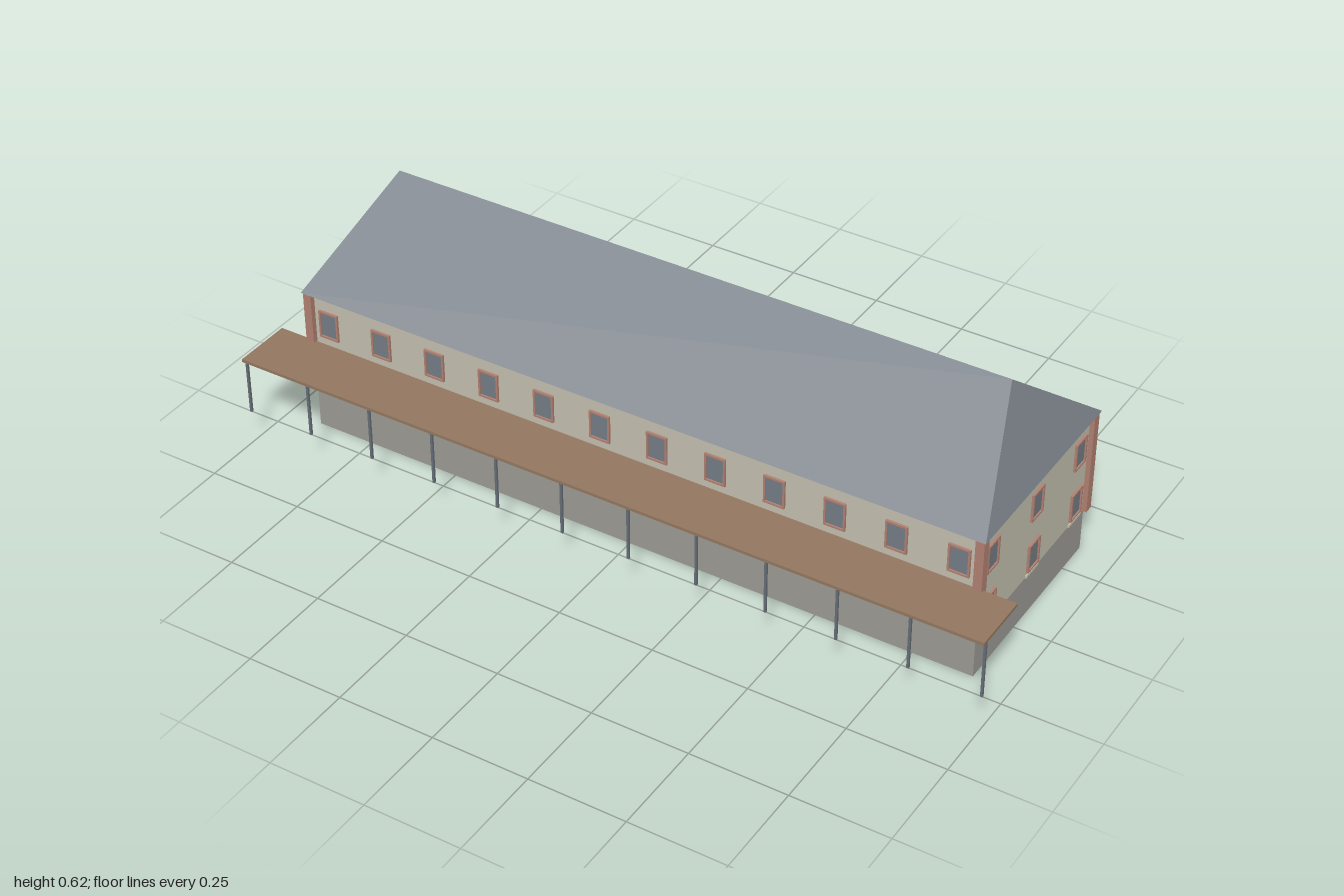
import * as THREE from 'three';

const mat = (name, color, opts = {}) => {
  const m = new THREE.MeshStandardMaterial({ color, ...opts });
  m.name = name;
  return m;
};

export function createModel() {
  const wall = mat('cream plaster', 0xc2beae);
  const stone = mat('grey stone', 0x9b9993);
  const slate = mat('slate roof', 0x7c828a);
  const brick = mat('red brick', 0xb08070);
  const wood = mat('brown wood', 0x93775f);
  const glass = mat('window glass', 0x747b84);
  const steel = mat('steel', 0x666d76);

  const model = new THREE.Group();
  const X = 0.905, Z0 = -0.342, Z1 = 0.2, ZC = (Z0 + Z1) / 2;
  const BASE = 0.115, EAVE = 0.392;

  // Box given by its extents
  const box = (parent, name, material, x0, x1, y0, y1, z0, z1) => {
    const m = new THREE.Mesh(new THREE.BoxGeometry(x1 - x0, y1 - y0, z1 - z0), material);
    m.position.set((x0 + x1) / 2, (y0 + y1) / 2, (z0 + z1) / 2);
    m.name = name;
    parent.add(m);
  };

  // Body
  box(model, 'foundation', stone, -X, X, 0, BASE, Z0, Z1);
  box(model, 'walls', wall, -X, X, BASE, EAVE, Z0, Z1);

  // Brick corner pillars
  for (const x of [-0.906, 0.906])
    for (const z of [-0.345, 0.202])
      box(model, 'cornerPillar', brick, x - 0.011, x + 0.011, BASE, EAVE, z - 0.012, z + 0.012);

  // Hipped roof with closed underside
  const a = [-0.921, EAVE, 0.217], b = [0.921, EAVE, 0.217];
  const c = [0.921, EAVE, -0.359], d = [-0.921, EAVE, -0.359];
  const e = [-0.823, 0.617, ZC], f = [0.823, 0.617, ZC];
  const tris = [a, b, f, a, f, e, c, d, e, c, e, f, b, c, f, d, a, e, a, d, c, a, c, b];
  const roofGeo = new THREE.BufferGeometry();
  roofGeo.setAttribute('position', new THREE.Float32BufferAttribute(tris.flat(), 3));
  roofGeo.computeVertexNormals();
  const roof = new THREE.Mesh(roofGeo, slate);
  roof.name = 'roof';
  model.add(roof);

  // Framed window, built facing +z
  const W = 0.0275, H = 0.0378, T = 0.005, D = 0.006;
  const addWindow = (x, y, z, turn, sill) => {
    const g = new THREE.Group();
    g.name = 'window';
    box(g, 'pane', glass, -W + T, W - T, -H + T, H - T, -0.001, 0.002);
    for (const s of [-1, 1]) {
      const u = s * (W - T / 2), v = s * (H - T / 2);
      box(g, 'frameSide', brick, u - T / 2, u + T / 2, -H, H, -0.001, D);
      box(g, 'frameRail', brick, -W + T, W - T, v - T / 2, v + T / 2, -0.001, D);
    }
    if (sill) box(g, 'sill', wall, -0.031, 0.031, BASE - y, 0.122 - y, -0.001, 0.004);
    g.position.set(x, y, z);
    g.rotation.y = turn;
    model.add(g);
  };
  for (const y of [0.166, 0.311]) {
    const low = y < 0.2;
    for (let i = 0; i < 12; i++) {
      const x = (i - 5.5) * 0.1552;
      addWindow(x, y, Z1, 0, low);
      addWindow(x, y, Z0, Math.PI, low);
    }
    for (const dz of [-0.218, 0, 0.218]) {
      addWindow(X, y, ZC + dz, Math.PI / 2, low);
      addWindow(-X, y, ZC + dz, -Math.PI / 2, low);
    }
  }

  // Front canopy on a row of slim posts
  box(model, 'canopy', wood, -1, 1, 0.246, 0.254, 0.204, 0.361);
  for (let i = 0; i < 12; i++) {
    const x = -0.997 + i * (1.994 / 11);
    box(model, 'canopyPost', steel, x - 0.003, x + 0.003, 0.093, 0.246, 0.344, 0.35);
  }
  return model;
}
